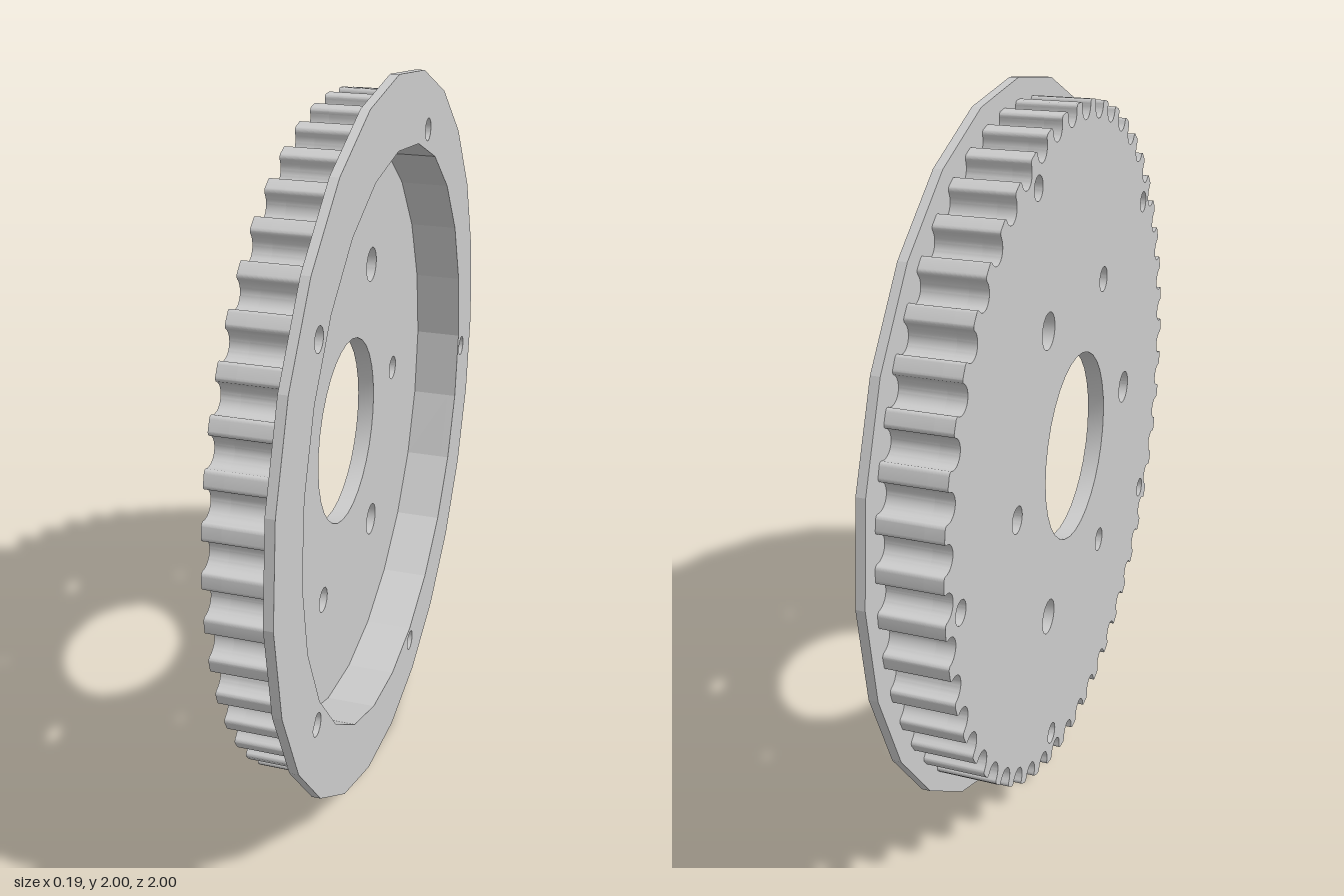
import * as THREE from 'three';
import { toCreasedNormals } from 'three/addons/utils/BufferGeometryUtils.js';

const TEETH = 50, TIP_R = 0.945;
const X_BACK = -0.094, X_WEB = -0.046, X_FLANGE = 0.07, X_FRONT = 0.094;

// point at an angle from +z towards +y, in the extrusion plane (plane x = -z)
const polar = (r, a) => new THREE.Vector2(-r * Math.cos(a), r * Math.sin(a));
const rad = THREE.MathUtils.degToRad;

function polygon(r, sides) {
  return Array.from({ length: sides }, (_, i) => polar(r, (i / sides) * Math.PI * 2));
}

// round-bottomed grooves with filleted tooth corners
function toothOutline() {
  const fillet = 0.0104, grooveR = 0.036, centreDepth = 0.0135;
  const side = [];
  for (let i = 0; i <= 8; i++) {
    const t = (i / 8) * Math.PI / 2;
    side.push([-grooveR - fillet + fillet * Math.sin(t), fillet - fillet * Math.cos(t)]);
  }
  for (let i = 0; i < 9; i++) {
    const t = (i / 9) * Math.PI / 2;
    side.push([-grooveR * Math.cos(t), centreDepth + grooveR * Math.sin(t)]);
  }
  const bottom = [0, centreDepth + grooveR];
  const groove = [...side, bottom, ...side.map(([w, d]) => [-w, d]).reverse()];
  const points = [];
  for (let k = 0; k < TEETH; k++) {
    const a = (k / TEETH) * Math.PI * 2;
    for (const [w, d] of groove) points.push(polar(TIP_R - d, a + w / TIP_R));
  }
  return points;
}

function roundHole(ringRadius, angle, r) {
  const c = polar(ringRadius, angle);
  return new THREE.Path().absarc(c.x, c.y, r, 0, Math.PI * 2, false);
}

function plate(name, outline, holes, x0, x1, material) {
  const shape = new THREE.Shape(outline);
  shape.holes.push(...holes);
  const geometry = new THREE.ExtrudeGeometry(shape, {
    depth: x1 - x0, bevelEnabled: false, curveSegments: 16,
  });
  const mesh = new THREE.Mesh(toCreasedNormals(geometry, 0.25), material);
  mesh.name = name;
  mesh.rotation.y = Math.PI / 2;
  mesh.position.set(x0, 1, 0);
  return mesh;
}

export function createModel() {
  const group = new THREE.Group();
  group.name = 'toothedPulley';
  const grey = new THREE.MeshStandardMaterial({ color: 0xcbcbcb });
  grey.name = 'plain grey';

  // five screw holes through rim and flange
  const rimHoles = () => Array.from({ length: 5 }, (_, i) =>
    roundHole(0.856, rad(39.6 + 72 * i), 0.031));
  // six web holes, alternately large and small
  const webHoles = Array.from({ length: 6 }, (_, i) =>
    roundHole(0.482, rad(60 * i), i % 2 ? 0.036 : 0.049));
  const bore = roundHole(0, 0, 0.266);
  // recess runs opposite to the outlines so that its wall faces inwards
  const recess = () => new THREE.Path(polygon(0.808, 24).reverse());
  const teeth = toothOutline();

  group.add(
    plate('web', teeth, [bore, ...webHoles, ...rimHoles()], X_BACK, X_WEB, grey),
    plate('toothedRim', teeth, [recess(), ...rimHoles()], X_WEB, X_FLANGE, grey),
    plate('flange', polygon(1, 24), [recess(), ...rimHoles()], X_FLANGE, X_FRONT, grey),
  );
  return group;
}
